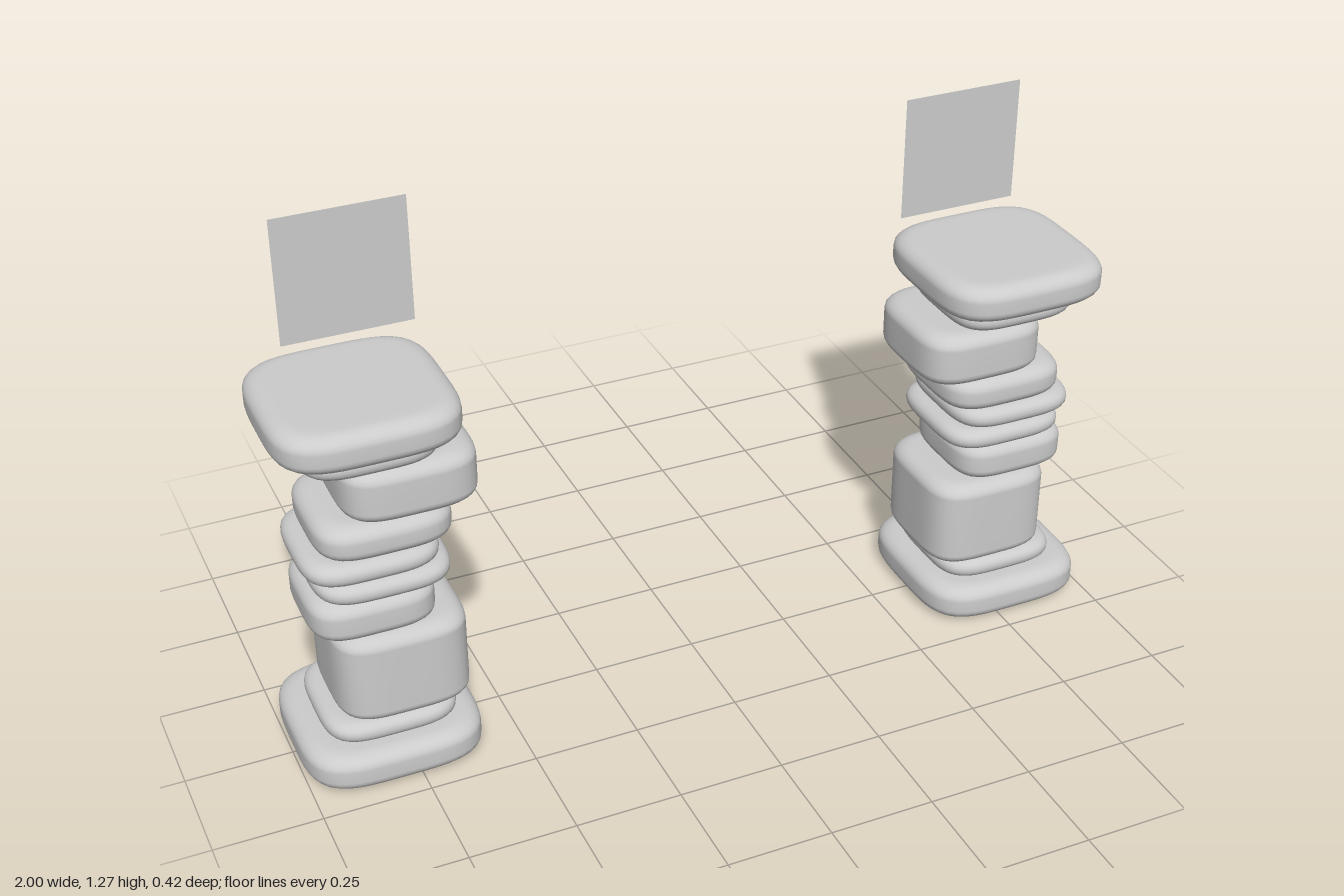
import * as THREE from 'three';
import { mergeVertices } from 'three/addons/utils/BufferGeometryUtils.js';

// Pillow-shaped stone: a lathed profile pushed out to a squarish outline
function stoneGeometry(half, height) {
  const bevelY = Math.min(0.032, height * 0.45);
  const bevelR = Math.min(0.042, bevelY * 1.35);
  const points = [new THREE.Vector2(0, 0), new THREE.Vector2((half - bevelR) * 0.9, 0)];
  const steps = 6;
  for (const top of [false, true]) {
    for (let i = 0; i <= steps; i++) {
      const a = (i / steps + (top ? 0 : -1)) * Math.PI / 2;
      points.push(new THREE.Vector2(
        half - bevelR + bevelR * Math.cos(a),
        (top ? height - bevelY : bevelY) + bevelY * Math.sin(a)));
    }
  }
  points.push(new THREE.Vector2((half - bevelR) * 0.9, height), new THREE.Vector2(0, height));

  const geometry = new THREE.LatheGeometry(points, 64);
  const pos = geometry.attributes.position;
  for (let i = 0; i < pos.count; i++) {
    const x = pos.getX(i), z = pos.getZ(i);
    const r = Math.hypot(x, z);
    if (r < 1e-6) continue;
    const k = Math.pow((x / r) ** 4 + (z / r) ** 4, -0.25);
    pos.setX(i, x * k);
    pos.setZ(i, z * k);
  }
  // Weld the seam so the shading runs smoothly all round
  geometry.deleteAttribute('uv');
  geometry.deleteAttribute('normal');
  const welded = mergeVertices(geometry, 1e-5);
  welded.computeVertexNormals();
  return welded;
}

// name, centre x, half width, bottom y, top y
const STONES = [
  ['baseSlab', 0.79, 0.21, 0, 0.093],
  ['lowerCollar', 0.785, 0.157, 0.088, 0.14],
  ['largeBlock', 0.75, 0.157, 0.136, 0.363],
  ['smallBlock', 0.805, 0.146, 0.361, 0.461],
  ['lowerThinStone', 0.777, 0.157, 0.463, 0.515],
  ['upperThinStone', 0.8, 0.157, 0.516, 0.57],
  ['middleStone', 0.767, 0.157, 0.57, 0.657],
  ['offsetBlock', 0.703, 0.157, 0.653, 0.786],
  ['upperCollar', 0.785, 0.157, 0.782, 0.84],
  ['capSlab', 0.79, 0.21, 0.834, 0.926],
];

export function createModel() {
  const model = new THREE.Group();
  model.name = 'stonePillars';
  const stoneMaterial = new THREE.MeshStandardMaterial({ color: 0xcccccc });
  const panelMaterial = new THREE.MeshStandardMaterial({ color: 0xcccccc, side: THREE.DoubleSide });
  const geometries = STONES.map(([, , half, bottom, top]) => stoneGeometry(half, top - bottom));
  const panelGeometry = new THREE.PlaneGeometry(0.3, 0.3);

  // Two mirrored pillars
  for (const side of [1, -1]) {
    const pillar = new THREE.Group();
    pillar.name = side > 0 ? 'leftPillar' : 'rightPillar';
    STONES.forEach(([name, x, , bottom], i) => {
      const stone = new THREE.Mesh(geometries[i], stoneMaterial);
      stone.name = name;
      stone.position.set(side * x, bottom, 0);
      pillar.add(stone);
    });

    // Thin upright panel floating above the cap
    const panel = new THREE.Mesh(panelGeometry, panelMaterial);
    panel.name = 'flamePanel';
    panel.position.set(side * 0.75, 1.125, -0.13);
    pillar.add(panel);
    model.add(pillar);
  }
  return model;
}
